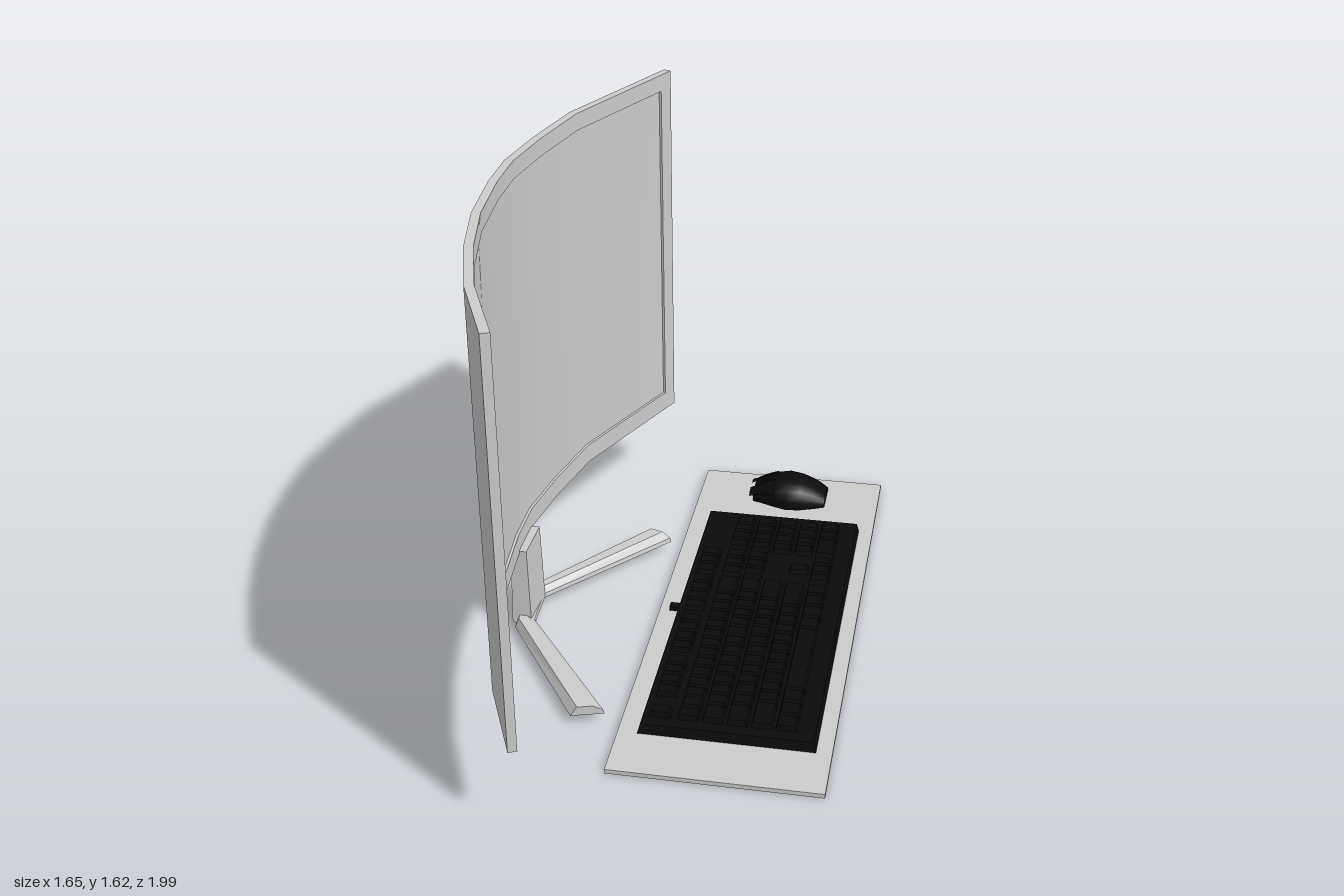
import * as THREE from 'three';
import { mergeGeometries } from 'three/addons/utils/BufferGeometryUtils.js';

const grey = new THREE.MeshStandardMaterial({ color: 0xcccccc });
const greyFlat = new THREE.MeshStandardMaterial({ color: 0xcccccc, flatShading: true });
const black = new THREE.MeshStandardMaterial({ color: 0x0a0a0a });

function add(parent, name, geometry, material, x = 0, y = 0, z = 0) {
  const mesh = new THREE.Mesh(geometry, material);
  mesh.name = name;
  mesh.position.set(x, y, z);
  parent.add(mesh);
  return mesh;
}

// Skin between equal rings of [x, y, z]; each ring runs counter-clockwise seen along the path.
// With smooth = false the ring's corners stay sharp.
function loft(rings, smooth = false) {
  const pos = [], idx = [], n = rings[0].length, m = rings.length;
  const quads = (base, a, b, stride) => {
    for (let i = 0; i < m - 1; i++) {
      const p = base + i * stride, q = p + stride;
      idx.push(p + a, q + a, q + b, p + a, q + b, p + b);
    }
  };
  if (smooth) {
    rings.forEach(r => r.forEach(p => pos.push(...p)));
    for (let k = 0; k < n; k++) quads(0, k, (k + 1) % n, n);
  } else {
    for (let k = 0; k < n; k++) {
      const base = pos.length / 3;
      rings.forEach(r => pos.push(...r[k], ...r[(k + 1) % n]));
      quads(base, 0, 1, 2);
    }
  }
  // end caps
  [rings[0], rings[m - 1]].forEach((r, end) => {
    const base = pos.length / 3;
    r.forEach(p => pos.push(...p));
    for (let k = 1; k < n - 1; k++) {
      if (end) idx.push(base, base + k + 1, base + k);
      else idx.push(base, base + k, base + k + 1);
    }
  });
  const g = new THREE.BufferGeometry();
  g.setAttribute('position', new THREE.Float32BufferAttribute(pos, 3));
  g.setIndex(idx);
  g.computeVertexNormals();
  return g;
}

// Box standing on y = 0 whose top is drawn in by ix and iz on each side
function taperedBox(w, h, d, ix, iz) {
  const g = new THREE.BoxGeometry(w, h, d).translate(0, h / 2, 0);
  const p = g.attributes.position;
  for (let i = 0; i < p.count; i++) {
    if (p.getY(i) > h / 2) {
      p.setX(i, p.getX(i) - Math.sign(p.getX(i)) * ix);
      p.setZ(i, p.getZ(i) - Math.sign(p.getZ(i)) * iz);
    }
  }
  g.computeVertexNormals();
  return g;
}

// Plan of the curved panel (x, z), from the viewer's left to right
const plan = [[-0.812, 0.94], [-0.815, 0.645], [-0.785, 0.39], [-0.735, 0.155], [-0.655, -0.08],
  [-0.585, -0.24], [-0.47, -0.42], [-0.32, -0.625], [0.075, -0.99]].map(p => new THREE.Vector2(...p));
const dist = [0];
for (let i = 1; i < plan.length; i++) dist.push(dist[i - 1] + plan[i].distanceTo(plan[i - 1]));
const panelLength = dist[dist.length - 1];
const planNormals = plan.map((p, i) => {
  const t = plan[Math.min(i + 1, plan.length - 1)].clone().sub(plan[Math.max(i - 1, 0)]).normalize();
  return new THREE.Vector2(-t.y, t.x);
});

// Curved slab along the plan from s0 to s1, with depth n0..n1 and height y0..y1
function panelBand(s0, s1, n0, n1, y0, y1) {
  const stations = [s0, ...dist.filter(s => s > s0 + 0.001 && s < s1 - 0.001), s1];
  return loft(stations.map(s => {
    let i = 0;
    while (i < dist.length - 2 && s > dist[i + 1]) i++;
    const f = (s - dist[i]) / (dist[i + 1] - dist[i]);
    const p = plan[i].clone().lerp(plan[i + 1], f);
    const nrm = planNormals[i].clone().lerp(planNormals[i + 1], f).normalize();
    return [[n1, y0], [n1, y1], [n0, y1], [n0, y0]].map(([n, y]) => [p.x + nrm.x * n, y, p.y + nrm.y * n]);
  }));
}

function createMonitor() {
  const g = new THREE.Group();
  g.name = 'monitor';
  const L = panelLength, b = 0.058, back = 0.005, front = 0.014;
  add(g, 'screenPanel', panelBand(0, L, -0.014, back, 0.31, 1.615), grey);
  add(g, 'bezelBottom', panelBand(0, L, back, front, 0.31, 0.378), grey);
  add(g, 'bezelTop', panelBand(0, L, back, front, 1.557, 1.615), grey);
  add(g, 'bezelLeft', panelBand(0, b, back, front, 0.378, 1.557), grey);
  add(g, 'bezelRight', panelBand(L - b, L, back, front, 0.378, 1.557), grey);

  // column under the panel
  add(g, 'standColumn', taperedBox(0.168, 0.285, 0.066, 0.004, 0.006), greyFlat, -0.613, 0.035, -0.143)
    .rotation.y = 1.137;

  // V-shaped foot: inner and outer corner (x, z) of each station, narrower on top
  const foot = [[-0.47, 0.48, -0.577, 0.466], [-0.605, -0.06, -0.675, -0.05],
    [-0.55, -0.2, -0.612, -0.235], [-0.05, -0.444, -0.127, -0.513]];
  add(g, 'standFoot', loft(foot.map(([ix, iz, ox, oz]) => {
    const mix = (f, y) => [ix + (ox - ix) * f, y, iz + (oz - iz) * f];
    return [mix(0, 0.035), mix(0.04, 0.05), mix(0.35, 0.067), mix(0.8, 0.067), mix(1, 0.035)];
  })), greyFlat);
  return g;
}

function createKeyboard() {
  const g = new THREE.Group();
  g.name = 'keyboard';
  add(g, 'keyboardCase', taperedBox(1.292, 0.032, 0.558, 0.008, 0.008), black);
  add(g, 'cablePlug', new THREE.BoxGeometry(0.03, 0.014, 0.04), black, 0.024, 0.018, -0.285);

  // rows of key widths in key units; a negative number is a gap
  const nav = [-0.25, 1, 1, 1, -0.25], gap = [-3.5];
  const rows = [
    [1, -1, 1, 1, 1, 1, -0.5, 1, 1, 1, 1, -0.5, 1, 1, 1, 1, ...nav],
    [...Array(13).fill(1), 2, ...nav, 1, 1, 1, 1],
    [1.5, ...Array(12).fill(1), 1.5, ...nav, 1, 1, 1, 1],
    [1.75, ...Array(11).fill(1), 2.25, ...gap, 1, 1, 1, 1],
    [2.25, ...Array(10).fill(1), 2.75, -1.25, 1, -1.25, 1, 1, 1, 1],
    [1.25, 1.25, 1.25, 6.25, 1.25, 1.25, 1.25, 1.25, ...nav, 2, 1, 1],
  ];
  const unit = 0.0535, pitch = 0.077, keys = [];
  rows.forEach((row, r) => {
    let x = -11.25 * unit;
    const z = -0.217 + r * pitch + (r ? 0.012 : 0);
    for (const u of row) {
      const w = Math.abs(u) * unit;
      if (u > 0) keys.push(taperedBox(w - 0.007, 0.02, pitch - 0.01, 0.005, 0.006).translate(x + w / 2, 0.03, z));
      x += w;
    }
  });
  add(g, 'keys', mergeGeometries(keys), black);
  return g;
}

function createMouse() {
  const g = new THREE.Group();
  g.name = 'mouse';
  // stations: z, thumb-side width, other width, height
  const stations = [[-0.13, 0.056, 0.078, 0.04], [-0.1, 0.064, 0.084, 0.06], [-0.05, 0.084, 0.088, 0.081],
    [0, 0.1, 0.092, 0.091], [0.05, 0.094, 0.088, 0.083], [0.1, 0.076, 0.083, 0.06], [0.14, 0.058, 0.07, 0.03]];
  const ring = ([z, wl, wr, h], a0, a1, scale) => Array.from({ length: 13 }, (_, i) => {
    const a = a0 + (a1 - a0) * i / 12, c = Math.cos(a);
    const x = -Math.sign(c) * Math.abs(c) ** 0.75 * (c > 0 ? wl : wr);
    return [x * scale, h * Math.sin(a) ** 0.75 * scale, z];
  });
  add(g, 'mouseBody', loft(stations.map(s => ring(s, 0, Math.PI * 0.9999, 1)), true), black);

  // two buttons reaching past the nose, split down the middle
  const nose = [[-0.145, 0.056, 0.078, 0.034], ...stations.slice(0, 3)];
  for (const [name, a0, a1] of [['leftButton', 0.15, 0.45], ['rightButton', 0.55, 0.85]]) {
    add(g, name, loft(nose.map(s => ring(s, a0 * Math.PI, a1 * Math.PI, 1.04)), true), black);
  }
  const wheel = add(g, 'scrollWheel', new THREE.CylinderGeometry(0.018, 0.018, 0.014, 16), black, 0, 0.06, -0.085);
  wheel.rotation.z = Math.PI / 2;
  return g;
}

export function createModel() {
  const model = new THREE.Group();
  model.name = 'deskSetup';
  model.add(createMonitor());

  // mat with keyboard and mouse, turned to face the user
  const desk = new THREE.Group();
  desk.name = 'deskMatSet';
  desk.position.set(0.153, 0, 0.022);
  desk.rotation.y = 1.159;
  model.add(desk);
  add(desk, 'deskMat', new THREE.BoxGeometry(1.818, 0.015, 0.671), grey, 0, 0.0075, 0);
  const keyboard = createKeyboard();
  keyboard.position.set(-0.077, 0.015, 0.006);
  const mouse = createMouse();
  mouse.position.set(0.765, 0.015, 0);
  desk.add(keyboard, mouse);
  return model;
}
